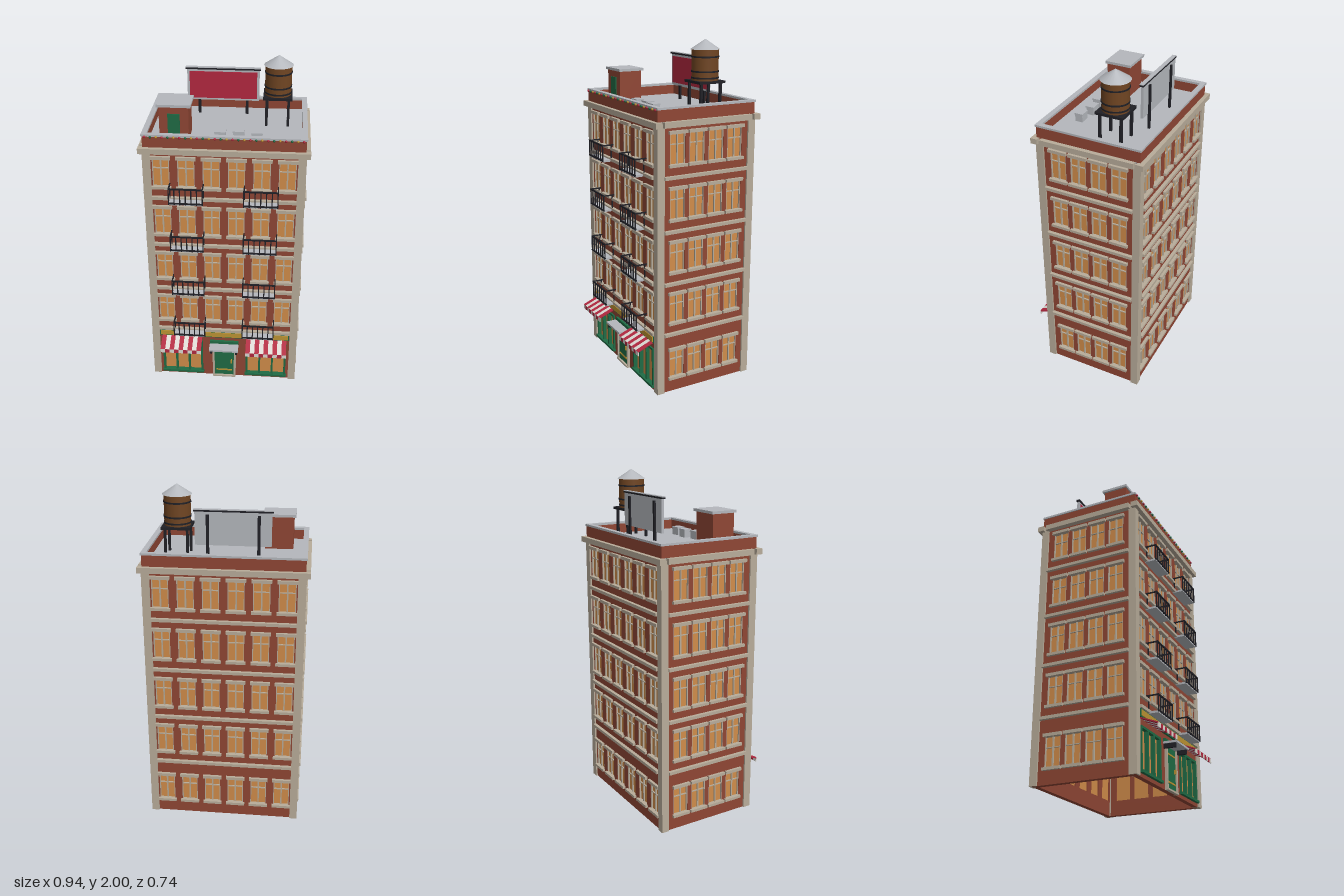
import * as THREE from 'three';
import { mergeGeometries } from 'three/addons/utils/BufferGeometryUtils.js';

const mat = (name, color) => Object.assign(new THREE.MeshStandardMaterial({ color }), { name });

export function createModel() {
  const M = {
    brick: mat('brick', 0x8f4634), stone: mat('stone', 0xb8ac9a), glass: mat('warmGlass', 0xd08c4a),
    green: mat('green', 0x1f6b45), red: mat('red', 0xb32840), gold: mat('gold', 0xbd9433),
    iron: mat('iron', 0x202026), grey: mat('roofGrey', 0xb4b7bc), wood: mat('wood', 0x704522),
    white: mat('white', 0xdedad4),
  };
  const root = new THREE.Group();
  root.name = 'apartmentBuilding';
  const group = (name, parent = root) => {
    const g = new THREE.Group();
    g.name = name;
    parent.add(g);
    return g;
  };
  const mesh = (parent, name, geo, m, x = 0, y = 0, z = 0) => {
    const o = new THREE.Mesh(geo, m);
    o.name = name;
    o.position.set(x, y, z);
    parent.add(o);
    return o;
  };
  // box geometry and box mesh given by min/max limits
  const boxGeo = (x0, x1, y0, y1, z0, z1) =>
    new THREE.BoxGeometry(x1 - x0, y1 - y0, z1 - z0).translate((x0 + x1) / 2, (y0 + y1) / 2, (z0 + z1) / 2);
  const box = (parent, name, m, ...l) => mesh(parent, name, boxGeo(...l), m);

  const WX = 0.44, ZB = -0.34, ZF = 0.265, ZC = (ZB + ZF) / 2, T = 0.03;
  const FLOOR = 0.307, BELT = 0.365;
  const floors = [0, 1, 2, 3].map(k => BELT + k * FLOOR);

  // window parts, origin at bottom centre on the wall plane
  const W = 0.095, H = 0.17;
  const trim = mergeGeometries([
    boxGeo(-0.056, 0.056, H - 0.002, H + 0.016, -0.01, 0.016),
    boxGeo(-0.056, 0.056, -0.014, 0.002, -0.01, 0.016),
    boxGeo(-W / 2, -W / 2 + 0.005, 0, H, -0.014, -0.002),
    boxGeo(W / 2 - 0.005, W / 2, 0, H, -0.014, -0.002),
    boxGeo(-0.004, 0.004, 0, H, -0.014, -0.003),
    boxGeo(-W / 2, W / 2, 0.108, 0.113, -0.014, -0.004),
  ]);
  const pane = boxGeo(-W / 2, W / 2, 0, H, -0.022, -0.012);

  const rectHole = (x, y, w, h) => {
    const p = new THREE.Path();
    p.moveTo(x - w / 2, y);
    p.lineTo(x - w / 2, y + h);
    p.lineTo(x + w / 2, y + h);
    p.lineTo(x + w / 2, y);
    p.closePath();
    return p;
  };

  // one facade: pierced wall, windows and belt courses
  function facade(name, width, belt, count, step, rows, extraHoles = []) {
    const g = group(name);
    const s = new THREE.Shape([[-1, 0], [1, 0], [1, 1.6], [-1, 1.6]].map(([x, y]) => new THREE.Vector2(x * width / 2, y)));
    s.holes.push(...extraHoles);
    for (const y of rows) for (let i = 0; i < count; i++) {
      const x = (i - (count - 1) / 2) * step;
      s.holes.push(rectHole(x, y, W, H));
      mesh(g, 'windowTrim', trim, M.stone, x, y);
      mesh(g, 'windowPane', pane, M.glass, x, y);
    }
    mesh(g, 'wall', new THREE.ExtrudeGeometry(s, { depth: T, bevelEnabled: false }), M.brick, 0, 0, -T);
    for (const y of floors) box(g, 'beltCourse', M.stone, -belt, belt, y - 0.009, y + 0.009, -0.005, 0.02);
    return g;
  }
  const upper = floors.map(y => y + 0.07), all = [0.09, ...upper];
  const SHOP = 0.262, SHOPW = 0.24;
  facade('frontFacade', 2 * WX, 0.405, 6, 0.14, upper,
    [-1, 1].map(s => rectHole(s * SHOP, 0.03, SHOPW, 0.23))).position.z = ZF;
  const back = facade('backFacade', 2 * WX, 0.405, 6, 0.14, all);
  back.position.z = ZB;
  back.rotation.y = Math.PI;
  for (const s of [1, -1]) {
    const f = facade(s > 0 ? 'leftFacade' : 'rightFacade', ZF - ZB - 2 * T, 0.268, 4, 0.122, all);
    f.position.set(s * WX, 0, ZC);
    f.rotation.y = s * Math.PI / 2;
  }

  // corner pillars and cornice
  for (const s of [-1, 1]) {
    for (const z of [-0.3275, 0.2525])
      mesh(root, 'cornerPillar', new THREE.BoxGeometry(0.045, 1.58, 0.045), M.stone, s * 0.4275, 0.79, z);
    mesh(root, 'sideCornice', new THREE.BoxGeometry(0.04, 0.032, 0.555), M.stone, s * 0.45, 1.578, ZC);
  }
  box(root, 'frontCornice', M.stone, -0.47, 0.47, 1.562, 1.594, 0.255, 0.295);
  box(root, 'backCornice', M.stone, -0.47, 0.47, 1.562, 1.594, -0.37, -0.33);

  // roof deck, parapet and coping
  box(root, 'roofDeck', M.grey, -0.44, 0.44, 1.58, 1.602, ZB, ZF);
  const ring = (name, m, ox, oz, t, y, h) => {
    const s = new THREE.Shape([[-1, -1], [1, -1], [1, 1], [-1, 1]].map(([x, z]) => new THREE.Vector2(x * ox, z * oz)));
    s.holes.push(rectHole(0, t - oz, 2 * (ox - t), 2 * (oz - t)));
    const geo = new THREE.ExtrudeGeometry(s, { depth: h, bevelEnabled: false }).rotateX(-Math.PI / 2);
    mesh(root, name, geo, m, 0, y, ZC);
  };
  ring('parapet', M.brick, 0.445, 0.308, 0.022, 1.594, 0.064);
  ring('coping', M.grey, 0.45, 0.3125, 0.03, 1.658, 0.012);

  // string of party lights below the front coping
  const bulb = new THREE.SphereGeometry(0.007, 8, 6);
  for (let i = 0; i < 28; i++)
    mesh(root, 'lightBulb', bulb, [M.red, M.green, M.gold][i % 3], -0.43 + i * 0.86 / 27, 1.657, 0.276);

  // balconies
  for (const y of floors) for (const s of [-1, 1]) {
    const b = group('balcony');
    b.position.set(s * 0.2085, y - 0.008, 0);
    box(b, 'balconySlab', M.grey, -0.094, 0.094, -0.004, 0.008, ZF, 0.333);
    const bars = [
      boxGeo(-0.097, 0.097, 0.093, 0.101, 0.33, 0.338), boxGeo(-0.097, 0.097, 0.004, 0.011, 0.33, 0.338),
    ];
    for (let i = 0; i < 7; i++) {
      const x = -0.094 + i * 0.188 / 6;
      bars.push(boxGeo(x - 0.003, x + 0.003, 0, 0.1, 0.331, 0.337));
    }
    for (const e of [-0.094, 0.094]) {
      bars.push(boxGeo(e - 0.003, e + 0.003, 0.093, 0.1, ZF, 0.334));
      bars.push(boxGeo(e - 0.003, e + 0.003, 0, 0.1, 0.275, 0.281));
    }
    mesh(b, 'balconyRailing', mergeGeometries(bars), M.iron);
  }

  // shop fronts with striped awnings
  for (const s of [-1, 1]) {
    const g = group(s > 0 ? 'leftShop' : 'rightShop');
    g.position.x = s * SHOP;
    box(g, 'shopPane', M.glass, -SHOPW / 2, SHOPW / 2, 0.03, 0.26, 0.243, 0.252);
    for (let i = 0; i < 4; i++) {
      const x = -0.12 + i * 0.08;
      box(g, 'shopMullion', M.green, x - 0.006, x + 0.006, 0.025, 0.265, 0.25, 0.274);
    }
    box(g, 'shopSill', M.green, -0.132, 0.132, 0.02, 0.034, 0.245, 0.283);
    box(g, 'shopHeader', M.green, -0.126, 0.126, 0.255, 0.268, 0.245, 0.274);
    const N = 9, w = 0.25 / N, rise = 0.04, run = 0.103;
    for (let i = 0; i < N; i++) {
      const x = -0.125 + (i + 0.5) * w;
      const slope = mesh(g, 'awningStripe', new THREE.BoxGeometry(w, 0.006, Math.hypot(rise, run)),
        i % 2 ? M.white : M.red, x, 0.289, ZF + run / 2);
      slope.rotation.x = Math.atan2(rise, run);
      mesh(g, 'awningValance', new THREE.BoxGeometry(w, 0.026, 0.006), i % 2 ? M.red : M.white, x, 0.258, 0.366);
    }
  }

  // shop sign band
  box(root, 'signBorder', M.green, -0.402, 0.402, 0.31, 0.354, 0.26, 0.277);
  box(root, 'signBoard', M.gold, -0.396, 0.396, 0.316, 0.348, 0.27, 0.281);

  // entrance
  const door = group('entrance');
  box(door, 'doorLeaf', M.green, -0.062, 0.062, 0.008, 0.245, 0.255, 0.272);
  for (const y of [0.045, 0.2]) box(door, 'doorStripe', M.gold, -0.05, 0.05, y, y + 0.009, 0.27, 0.276);
  box(door, 'doorHandle', M.gold, 0.042, 0.05, 0.11, 0.135, 0.27, 0.282);
  box(door, 'doorStep', M.stone, -0.07, 0.07, 0, 0.01, 0.255, 0.285);
  box(door, 'transomBoard', M.green, -0.09, 0.09, 0.262, 0.28, 0.255, 0.28);
  box(door, 'doorHood', M.grey, -0.09, 0.09, 0.25, 0.262, 0.255, 0.345);
  for (const s of [-1, 1]) {
    mesh(door, 'doorPost', new THREE.BoxGeometry(0.012, 0.245, 0.024), M.stone, s * 0.067, 0.1225, 0.269);
    mesh(door, 'hoodBracket', new THREE.BoxGeometry(0.014, 0.026, 0.07), M.iron, s * 0.078, 0.238, 0.3);
  }

  // stair bulkhead
  const hut = group('stairBulkhead');
  box(hut, 'bulkheadWalls', M.brick, -0.363, -0.2, 1.6, 1.792, 0.032, 0.172);
  box(hut, 'bulkheadRoof', M.grey, -0.375, -0.187, 1.79, 1.805, 0.02, 0.18);
  box(hut, 'bulkheadDoor', M.green, -0.315, -0.248, 1.602, 1.752, 0.168, 0.178);

  // roof vents
  for (const [x, z] of [[-0.03, 0.143], [0.072, 0.13], [0.173, 0.145]]) {
    mesh(root, 'roofVent', new THREE.BoxGeometry(0.06, 0.045, 0.044), M.grey, x, 1.622, z);
    mesh(root, 'ventLid', new THREE.BoxGeometry(0.065, 0.008, 0.05), M.grey, x, 1.647, z);
  }

  // billboard
  const sign = group('billboard');
  box(sign, 'billboardFrame', M.grey, -0.252, 0.168, 1.69, 1.876, -0.228, -0.213);
  box(sign, 'billboardPanel', M.red, -0.238, 0.154, 1.702, 1.862, -0.214, -0.209);
  box(sign, 'billboardTopBar', M.iron, -0.26, 0.175, 1.875, 1.884, -0.23, -0.207);
  box(sign, 'billboardCap', M.grey, -0.26, 0.175, 1.884, 1.888, -0.23, -0.207);
  for (const x of [-0.183, 0.097]) box(sign, 'billboardPost', M.iron, x - 0.008, x + 0.008, 1.6, 1.86, -0.238, -0.226);

  // water tank
  const tank = group('waterTank');
  tank.position.set(0.278, 0, -0.121);
  for (const x of [-1, 1]) for (const z of [-1, 1])
    mesh(tank, 'tankLeg', new THREE.BoxGeometry(0.014, 0.165, 0.014), M.iron, x * 0.062, 1.682, z * 0.062);
  mesh(tank, 'tankPlatform', new THREE.BoxGeometry(0.164, 0.014, 0.164), M.iron, 0, 1.768, 0);
  mesh(tank, 'tankBarrel', new THREE.CylinderGeometry(0.075, 0.075, 0.172, 20), M.wood, 0, 1.86, 0);
  for (const y of [1.79, 1.825, 1.905])
    mesh(tank, 'tankHoop', new THREE.CylinderGeometry(0.078, 0.078, 0.009, 20), M.iron, 0, y, 0);
  mesh(tank, 'tankRoof', new THREE.ConeGeometry(0.083, 0.056, 20), M.grey, 0, 1.972, 0);

  return root;
}
